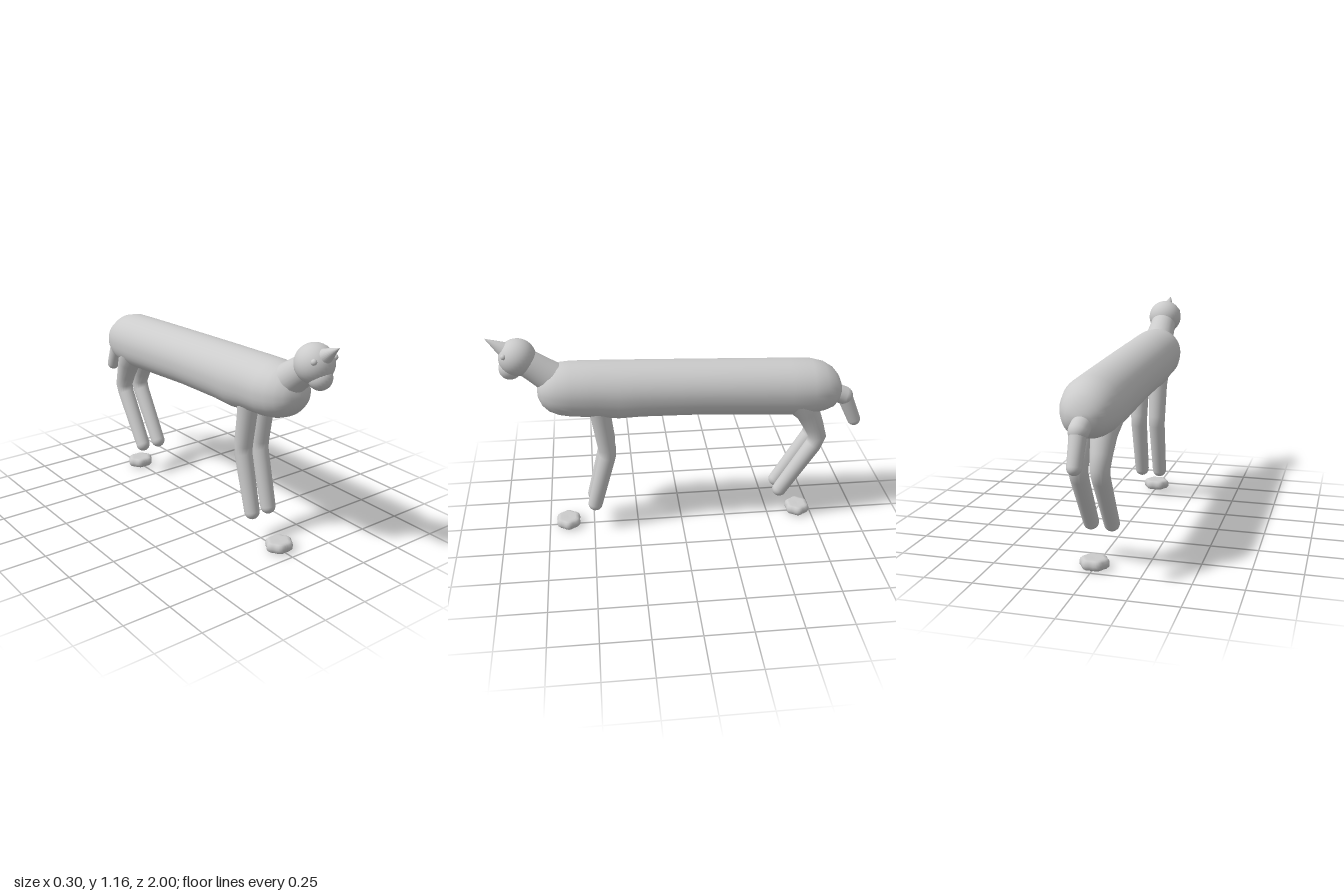
import * as THREE from 'three';

const material = new THREE.MeshStandardMaterial({ color: 0xcccccc });

function add(parent, name, geometry, x = 0, y = 0, z = 0) {
  const mesh = new THREE.Mesh(geometry, material);
  mesh.name = name;
  mesh.position.set(x, y, z);
  parent.add(mesh);
  return mesh;
}

// Skin over elliptical rings; each ring lies across its tangent (ty, tz).
// "boxy" below 1 squares off the lower half of the ring.
function loft(rings, sides, boxy = 1) {
  const positions = [], index = [];
  rings.forEach(({ y, z, ty, tz, w, h }, i) => {
    for (let j = 0; j < sides; j++) {
      const a = (j / sides) * Math.PI * 2;
      const c = Math.cos(a), s = Math.sin(a), p = s < -1e-6 ? boxy : 1;
      const u = Math.sign(c) * Math.abs(c) ** p * w;
      const v = Math.sign(s) * Math.abs(s) ** p * h;
      positions.push(u, y - tz * v, z + ty * v);
      if (i === rings.length - 1) continue;
      const k = (j + 1) % sides, r = i * sides, n = r + sides;
      index.push(r + j, n + j, r + k, r + k, n + j, n + k);
    }
  });
  const g = new THREE.BufferGeometry();
  g.setAttribute('position', new THREE.Float32BufferAttribute(positions, 3));
  g.setIndex(index);
  g.computeVertexNormals();
  return g;
}

// Round-ended limb through points [z, y, radius] in the side plane
function limb(points, sides = 20) {
  const unit = (a, b) => new THREE.Vector2(b[0] - a[0], b[1] - a[1]).normalize();
  const last = points.length - 1, rings = [];
  const ring = (p, t, shift, r) =>
    rings.push({ z: p[0] + t.x * shift, y: p[1] + t.y * shift, tz: t.x, ty: t.y, w: r, h: r });
  points.forEach((p, i) => {
    const t = unit(points[Math.max(i - 1, 0)], points[Math.min(i + 1, last)]);
    const cap = (k) => ring(p, t, p[2] * Math.sin(k), Math.max(p[2] * Math.cos(k), 1e-4));
    if (i === 0) for (let k = -6; k < 0; k++) cap((k / 6) * Math.PI / 2);
    ring(p, t, 0, p[2]);
    if (i === last) for (let k = 1; k <= 6; k++) cap((k / 6) * Math.PI / 2);
  });
  return loft(rings, sides);
}

// Flat pebble with a gently lobed outline
function pebble() {
  const profile = [[0, 0.004], [0.045, 0.002], [0.062, 0.006], [0.071, 0.016], [0.073, 0.03],
    [0.07, 0.045], [0.06, 0.054], [0.045, 0.056], [0, 0.054]];
  const g = new THREE.LatheGeometry(profile.map(([r, y]) => new THREE.Vector2(r, y)), 36);
  const p = g.attributes.position;
  for (let i = 0; i < p.count; i++) {
    const x = p.getX(i), z = p.getZ(i);
    const k = 1 + 0.06 * Math.cos(6 * Math.atan2(z, x));
    p.setX(i, x * k);
    p.setZ(i, z * k * 0.92);
  }
  g.computeVertexNormals();
  return g;
}

export function createModel() {
  const model = new THREE.Group();
  model.name = 'hornedAnimal';

  // Body sections: z, top, bottom, half width
  const sections = [
    [0.76, 0.865, 0.863, 0.001], [0.755, 0.91, 0.825, 0.05], [0.735, 0.95, 0.785, 0.09],
    [0.7, 0.985, 0.752, 0.12], [0.65, 1.003, 0.732, 0.14], [0.58, 1.008, 0.72, 0.15],
    [0.46, 1.006, 0.712, 0.15], [0.34, 1.002, 0.695, 0.15], [0.22, 0.998, 0.7, 0.15],
    [-0.1, 0.986, 0.694, 0.15], [-0.4, 0.975, 0.676, 0.15], [-0.58, 0.968, 0.665, 0.15],
    [-0.7, 0.962, 0.668, 0.149], [-0.77, 0.943, 0.678, 0.133], [-0.82, 0.91, 0.695, 0.11],
    [-0.85, 0.872, 0.725, 0.08], [-0.867, 0.83, 0.765, 0.045], [-0.872, 0.798, 0.796, 0.001],
  ];
  add(model, 'body', loft(sections.map(([z, top, bottom, w]) => (
    { z, y: (top + bottom) / 2, ty: 0, tz: -1, w, h: (top - bottom) / 2 })), 40, 0.88));

  // Head and neck
  add(model, 'neck', limb([[0.6, 0.87, 0.1], [0.69, 0.94, 0.084], [0.77, 1.0, 0.075], [0.84, 1.05, 0.07]], 24));
  const head = new THREE.Group();
  head.name = 'head';
  model.add(head);
  add(head, 'skull', new THREE.SphereGeometry(0.097, 32, 20), 0, 1.055, 0.845);
  add(head, 'muzzle', new THREE.SphereGeometry(0.059, 24, 16), 0, 0.995, 0.886);
  const horn = add(head, 'horn', new THREE.ConeGeometry(0.047, 0.13, 24), 0, 1.128, 0.947);
  horn.quaternion.setFromUnitVectors(new THREE.Vector3(0, 1, 0), new THREE.Vector3(0, 0.57, 0.82).normalize());

  // Paired parts
  const foreleg = limb([[0.445, 0.78, 0.062], [0.435, 0.7, 0.052], [0.41, 0.52, 0.048], [0.41, 0.47, 0.046], [0.488, 0.168, 0.04]]);
  const hindLeg = limb([[-0.63, 0.755, 0.085], [-0.685, 0.68, 0.066], [-0.725, 0.59, 0.054],
    [-0.748, 0.525, 0.049], [-0.73, 0.475, 0.046], [-0.553, 0.192, 0.04]]);
  for (const [side, s] of [['left', 1], ['right', -1]]) {
    add(head, side + 'Eye', new THREE.SphereGeometry(0.015, 14, 10), s * 0.065, 1.087, 0.908);
    add(model, side + 'FrontLeg', foreleg, s * 0.054);
    add(model, side + 'HindLeg', hindLeg, s * 0.054);
  }

  // Tail
  add(model, 'tailBase', limb([[-0.83, 0.77, 0.05], [-0.893, 0.742, 0.05]]));
  add(model, 'tail', limb([[-0.9, 0.735, 0.042], [-0.963, 0.592, 0.036]]));

  // Pebbles on the ground
  const stone = pebble();
  add(model, 'frontPebble', stone, 0, 0, 0.645);
  add(model, 'rearPebble', stone, 0, 0, -0.675);
  return model;
}
